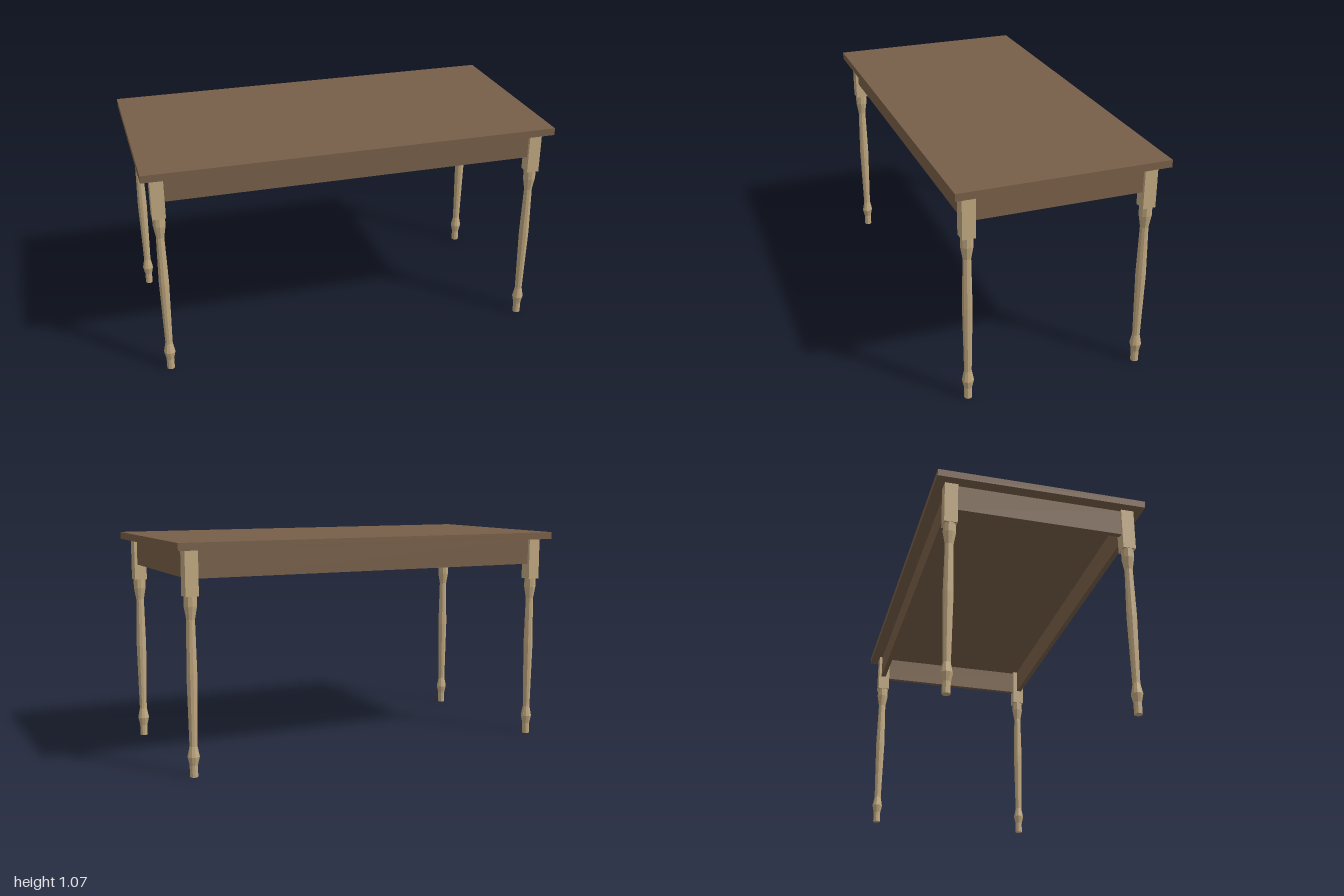
import * as THREE from 'three';

const darkWood = new THREE.MeshStandardMaterial({ color: 0x785f48 });
darkWood.name = 'darkWood';
const paleWood = new THREE.MeshStandardMaterial({ color: 0xc0a880, flatShading: true });
paleWood.name = 'paleWood';

const LEG_X = 0.926, LEG_Z = 0.426, POST = 0.062;
const TOP_Y = 1.037, APRON_Y = 0.908, POST_Y = 0.83;

function box(name, material, w, h, d, x, y, z) {
  const mesh = new THREE.Mesh(new THREE.BoxGeometry(w, h, d), material);
  mesh.name = name;
  mesh.position.set(x, y, z);
  return mesh;
}

export function createModel() {
  const table = new THREE.Group();
  table.name = 'table';

  // Top board
  table.add(box('tableTop', darkWood, 2, 0.035, 1, 0, TOP_Y + 0.0175, 0));

  // Aprons run between the leg posts, slightly inset from their outer faces
  const h = TOP_Y - APRON_Y, y = (TOP_Y + APRON_Y) / 2, t = 0.025;
  const offset = 0.004;
  for (const s of [1, -1]) {
    table.add(box(s > 0 ? 'frontApron' : 'backApron', darkWood,
      2 * LEG_X - POST, h, t, 0, y, s * (LEG_Z + offset)));
    table.add(box(s > 0 ? 'leftApron' : 'rightApron', darkWood,
      t, h, 2 * LEG_Z - POST, s * (LEG_X + offset), y, 0));
  }

  // Turned leg profile: radius, height
  const profile = [
    [0, 0], [0.019, 0], [0.019, 0.055], [0.028, 0.095], [0.018, 0.145],
    [0.0245, 0.48], [0.0195, 0.725], [0.03, 0.785], [0.03, POST_Y],
  ].map(([r, py]) => new THREE.Vector2(r, py));
  const turning = new THREE.LatheGeometry(profile, 10);

  // Four legs: square post above a turned shaft
  for (const sx of [1, -1]) {
    for (const sz of [1, -1]) {
      const leg = new THREE.Group();
      leg.name = (sz > 0 ? 'front' : 'back') + (sx > 0 ? 'Left' : 'Right') + 'Leg';
      leg.position.set(sx * LEG_X, 0, sz * LEG_Z);
      leg.add(box('legPost', paleWood, POST, TOP_Y - POST_Y, POST, 0, (TOP_Y + POST_Y) / 2, 0));
      const shaft = new THREE.Mesh(turning, paleWood);
      shaft.name = 'turnedShaft';
      leg.add(shaft);
      table.add(leg);
    }
  }
  return table;
}
